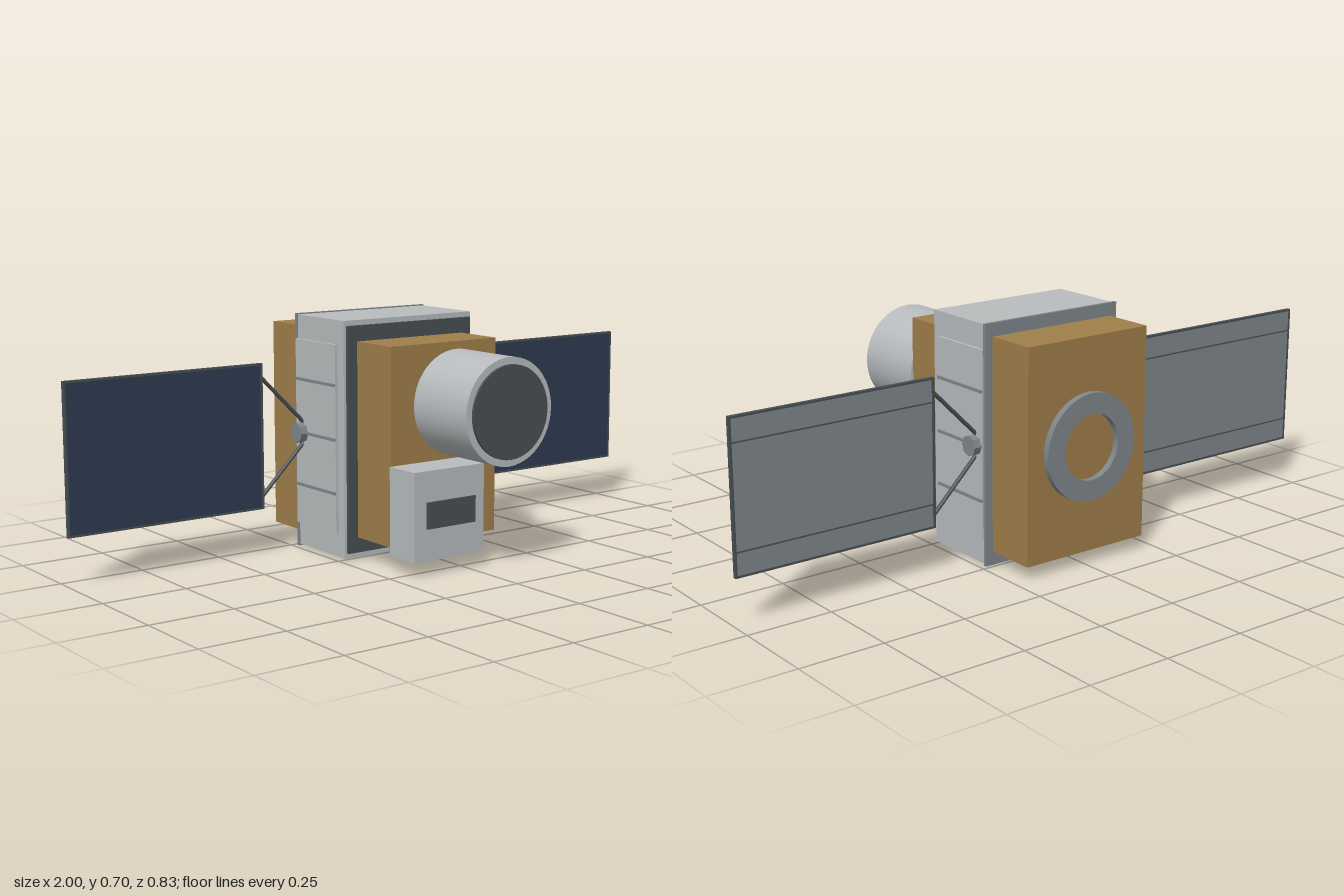
import * as THREE from 'three';

const mat = (name, color) => Object.assign(new THREE.MeshStandardMaterial({ color }), { name });

export function createModel() {
  const silver = mat('silver', 0xb8bcbe);
  const gold = mat('gold foil', 0xa07e4a);
  const dark = mat('dark grey', 0x485053);
  const grey = mat('mid grey', 0x7e868a);
  const navy = mat('solar navy', 0x2d3b50);

  const model = new THREE.Group();
  model.name = 'satellite';

  const add = (name, geometry, material, parent = model) => {
    const mesh = new THREE.Mesh(geometry, material);
    mesh.name = name;
    parent.add(mesh);
    return mesh;
  };
  // Box given by its extents on each axis
  const box = (name, [x0, x1], [y0, y1], [z0, z1], material, parent) => {
    const mesh = add(name, new THREE.BoxGeometry(x1 - x0, y1 - y0, z1 - z0), material, parent);
    mesh.position.set((x0 + x1) / 2, (y0 + y1) / 2, (z0 + z1) / 2);
    return mesh;
  };
  // Cylinder along z
  const drum = (name, r, x, y, z0, z1, material) => {
    const mesh = add(name, new THREE.CylinderGeometry(r, r, z1 - z0, 48), material);
    mesh.rotation.x = Math.PI / 2;
    mesh.position.set(x, y, (z0 + z1) / 2);
    return mesh;
  };
  // Round bar between two points
  const strut = (name, a, b, r, material, parent) => {
    const p = new THREE.Vector3(...a), q = new THREE.Vector3(...b);
    const mesh = add(name, new THREE.CylinderGeometry(r, r, p.distanceTo(q), 8), material, parent);
    mesh.position.copy(p).lerp(q, 0.5);
    mesh.quaternion.setFromUnitVectors(new THREE.Vector3(0, 1, 0), q.sub(p).normalize());
    return mesh;
  };

  // Central bus with its front plate and rear flange
  box('bus', [-0.23, 0.23], [0.005, 0.695], [-0.23, 0.005], silver);
  box('frontPlate', [-0.222, 0.222], [0.02, 0.68], [0.005, 0.015], dark);
  box('rearFlange', [-0.234, 0.234], [0, 0.698], [-0.239, -0.229], grey);

  // Foil-wrapped modules
  box('frontModule', [-0.19, 0.188], [0.065, 0.635], [0.015, 0.175], gold);
  box('rearModule', [-0.21, 0.21], [0.04, 0.66], [-0.395, -0.238], gold);

  // Telescope
  drum('telescopeBarrel', 0.153, 0.044, 0.46, 0.174, 0.408, silver);
  drum('telescopeLens', 0.133, 0.044, 0.46, 0.4, 0.416, dark);

  // Instrument box with a slot
  box('instrumentBox', [-0.193, 0.054], [0.042, 0.298], [0.174, 0.288], silver);
  box('instrumentSlot', [-0.15, 0.02], [0.134, 0.21], [0.286, 0.294], dark);

  // Docking ring on the back
  const section = [[0.095, 0], [0.155, 0], [0.155, 0.02], [0.095, 0.02], [0.095, 0]];
  const facets = section.slice(1).map((p, i) =>
    new THREE.LatheGeometry([section[i], p].map(([x, y]) => new THREE.Vector2(x, y)), 48));
  const ring = new THREE.Group();
  ring.name = 'dockingRing';
  ring.rotation.x = -Math.PI / 2;
  ring.position.set(0, 0.35, -0.395);
  facets.forEach((g) => add('ringFace', g, grey, ring));
  model.add(ring);

  // Both sides: service panel, ribs, hub, struts and solar wing
  for (const s of [1, -1]) {
    const side = new THREE.Group();
    side.name = s > 0 ? 'leftSide' : 'rightSide';
    model.add(side);
    const span = (a, b) => (s > 0 ? [a, b] : [-b, -a]);
    const wz = -0.197;

    box('sidePanel', span(0.225, 0.239), [0.075, 0.625], [-0.229, -0.025], silver, side);
    for (const y of [0.193, 0.35, 0.508]) {
      box('sideRib', span(0.236, 0.244), [y - 0.004, y + 0.004], [-0.229, -0.025], grey, side);
    }

    const hub = add('wingHub', new THREE.CylinderGeometry(0.03, 0.03, 0.03, 8), grey, side);
    hub.geometry = hub.geometry.toNonIndexed();
    hub.geometry.computeVertexNormals();
    hub.rotation.z = Math.PI / 2;
    hub.position.set(s * 0.247, 0.35, wz);

    for (const v of [1, -1]) {
      strut('wingStrut', [s * 0.235, 0.35 + v * 0.03, wz], [s * 0.386, 0.35 + v * 0.18, wz], 0.006, dark, side);
    }

    // Wing: navy cells in front, grey backing, dark edge frame and rails
    const wing = new THREE.Group();
    wing.name = 'solarWing';
    side.add(wing);
    box('cellSheet', span(0.384, 0.996), [0.144, 0.56], [-0.197, -0.1915], navy, wing);
    box('backSheet', span(0.384, 0.996), [0.144, 0.56], [-0.201, -0.197], grey, wing);
    for (const [a, b] of [[0.378, 0.386], [0.994, 1]]) {
      box('endFrame', span(a, b), [0.138, 0.566], [-0.203, -0.191], dark, wing);
    }
    for (const y of [0.138, 0.56]) {
      box('edgeFrame', span(0.378, 1), [y, y + 0.006], [-0.203, -0.191], dark, wing);
    }
    for (const y of [0.207, 0.497]) {
      box('backRail', span(0.386, 0.994), [y - 0.002, y + 0.002], [-0.203, -0.2], dark, wing);
    }
  }
  return model;
}
